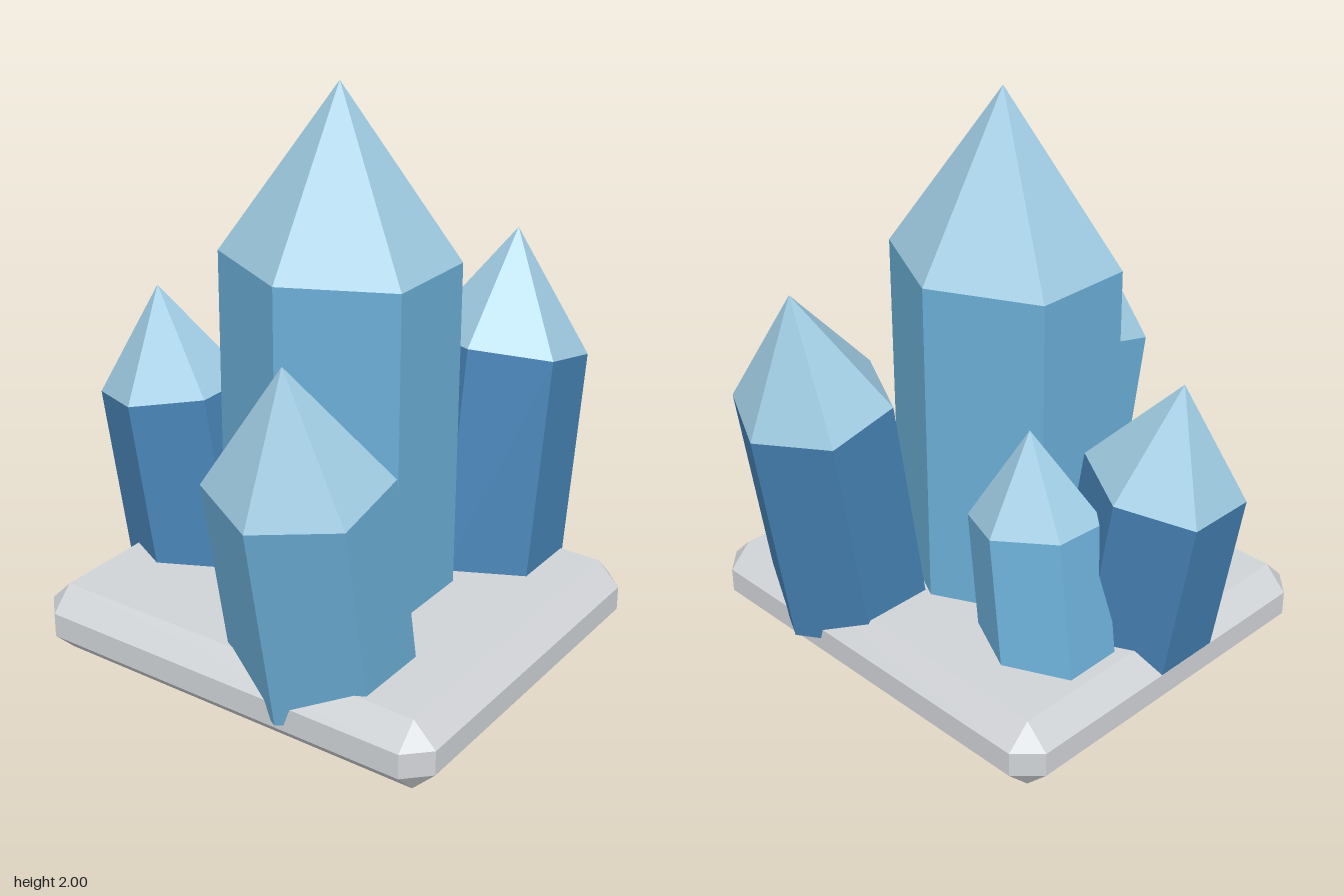
import * as THREE from 'three';
import { ConvexGeometry } from 'three/addons/geometries/ConvexGeometry.js';

const material = (name, color) => {
  const m = new THREE.MeshStandardMaterial({ color });
  m.name = name;
  return m;
};

// Flat-shaded geometry from a list of triangles
function facets(triangles) {
  const g = new THREE.BufferGeometry().setFromPoints(triangles.flat());
  g.computeVertexNormals();
  return g;
}

// Six-sided crystal. a and b are the ring's half axes (right and back),
// drop runs from the shoulder ring down to the foot ring.
function crystal(name, shaftMaterial, tipMaterial, { centre, a, b, drop, apex }) {
  const [c, va, vb, vd, top] = [centre, a, b, drop, apex].map((p) => new THREE.Vector3(...p));
  const ring = [];
  for (let i = 0; i < 6; i++) {
    const t = (i * Math.PI) / 3;
    ring.push(c.clone().addScaledVector(va, Math.cos(t)).addScaledVector(vb, Math.sin(t)));
  }
  const foot = ring.map((p) => p.clone().add(vd));
  const footCentre = c.clone().add(vd);
  const shaft = [];
  const tip = [];
  for (let i = 0; i < 6; i++) {
    const j = (i + 1) % 6;
    shaft.push([foot[i], foot[j], ring[j]], [foot[i], ring[j], ring[i]], [foot[j], foot[i], footCentre]);
    tip.push([ring[i], ring[j], top]);
  }
  const group = new THREE.Group();
  group.name = name;
  const shaftMesh = new THREE.Mesh(facets(shaft), shaftMaterial);
  shaftMesh.name = name + 'Shaft';
  const tipMesh = new THREE.Mesh(facets(tip), tipMaterial);
  tipMesh.name = name + 'Tip';
  group.add(shaftMesh, tipMesh);
  return group;
}

// Box with every edge and corner chamfered
function chamferedBox(w, h, d, c) {
  const points = [];
  for (const x of [-1, 1]) for (const y of [-1, 1]) for (const z of [-1, 1]) {
    const [X, Y, Z] = [w / 2, h / 2, d / 2];
    points.push(
      new THREE.Vector3(x * X, y * (Y - c), z * (Z - c)),
      new THREE.Vector3(x * (X - c), y * Y, z * (Z - c)),
      new THREE.Vector3(x * (X - c), y * (Y - c), z * Z),
    );
  }
  return new ConvexGeometry(points);
}

export function createModel() {
  const stone = material('stone grey', 0xd0d3d6);
  const light = material('light blue', 0x6baed6);
  const dark = material('steel blue', 0x4682b4);
  const pale = material('pale blue', 0x9ecae1);

  const model = new THREE.Group();
  model.name = 'crystalCluster';

  // Stone slab
  const base = new THREE.Mesh(chamferedBox(1.375, 0.252, 1.58, 0.082), stone);
  base.name = 'base';
  base.position.set(-0.01, 0.126, 0.05);
  model.add(base);

  // Crystals
  model.add(
    crystal('centreCrystal', light, pale, {
      centre: [-0.01, 1.42, 0.053], a: [0.36, 0, 0], b: [0, 0, -0.416],
      drop: [0, -1.32, 0], apex: [-0.01, 2, 0.053],
    }),
    crystal('rightCrystal', light, pale, {
      centre: [-0.58, 0.905, 0.3], a: [0.27, 0.065, 0], b: [0, 0, -0.315],
      drop: [0.14, -0.74, 0], apex: [-0.653, 1.31, 0.3],
    }),
    crystal('leftCrystal', dark, pale, {
      centre: [0.587, 0.995, 0.345], a: [0.255, -0.055, 0], b: [0, 0, -0.3],
      drop: [-0.122, -0.82, 0], apex: [0.65, 1.4, 0.345],
    }),
    crystal('backCrystal', dark, pale, {
      centre: [-0.08, 0.827, -0.61], a: [0.248, 0, 0], b: [0, -0.049, -0.275],
      drop: [0, -0.68, 0.12], apex: [-0.08, 1.19, -0.672],
    }),
    crystal('smallCrystal', light, pale, {
      centre: [0.215, 0.672, -0.318], a: [0.21, 0.012, 0], b: [0, 0.043, -0.243],
      drop: [0.038, -0.53, -0.1], apex: [0.195, 0.975, -0.27],
    }),
  );
  return model;
}
